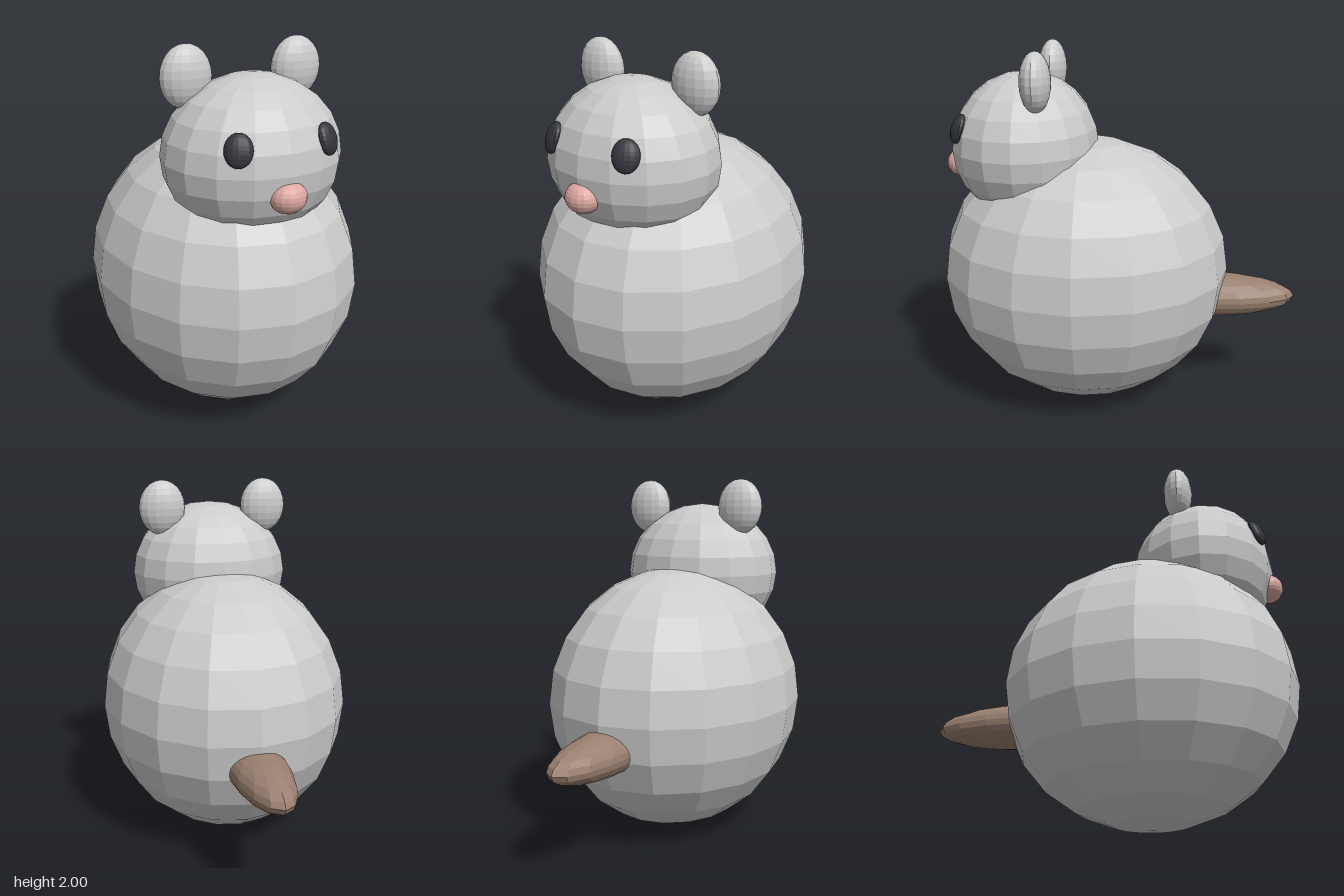
import * as THREE from 'three';

const material = (color) => new THREE.MeshStandardMaterial({ color, flatShading: true });

export function createModel() {
  const model = new THREE.Group();
  const fur = material(0xcccccc);
  const dark = material(0x34353c);
  const pink = material(0xdca8a0);
  const brown = material(0x9a8070);

  // Faceted ellipsoid with its poles along its own y axis
  function ellipsoid(name, mat, radii, position) {
    const geometry = new THREE.SphereGeometry(1, 16, 12);
    geometry.scale(...radii);
    const mesh = new THREE.Mesh(geometry, mat);
    mesh.name = name;
    mesh.position.set(...position);
    model.add(mesh);
    return mesh;
  }

  // Body, head and the parts on the centre line
  ellipsoid('body', fur, [0.7, 0.75, 0.805], [0, 0.755, 0.19]);
  ellipsoid('head', fur, [0.457, 0.403, 0.4], [0, 1.46, 0.51]);
  ellipsoid('nose', pink, [0.092, 0.077, 0.078], [0, 1.355, 0.88]);
  ellipsoid('tail', brown, [0.16, 0.12, 0.5], [0, 0.6, -0.5]);

  // Ears, and eyes lying against the curve of the head
  for (const [side, s] of [['left', 1], ['right', -1]]) {
    ellipsoid(side + 'Ear', fur, [0.133, 0.155, 0.08], [s * 0.298, 1.845, 0.4]);
    const eye = ellipsoid(side + 'Eye', dark, [0.067, 0.08, 0.035], [s * 0.23, 1.59, 0.825]);
    eye.rotation.set(-0.34, s * 0.5, 0, 'YXZ');
  }
  return model;
}
